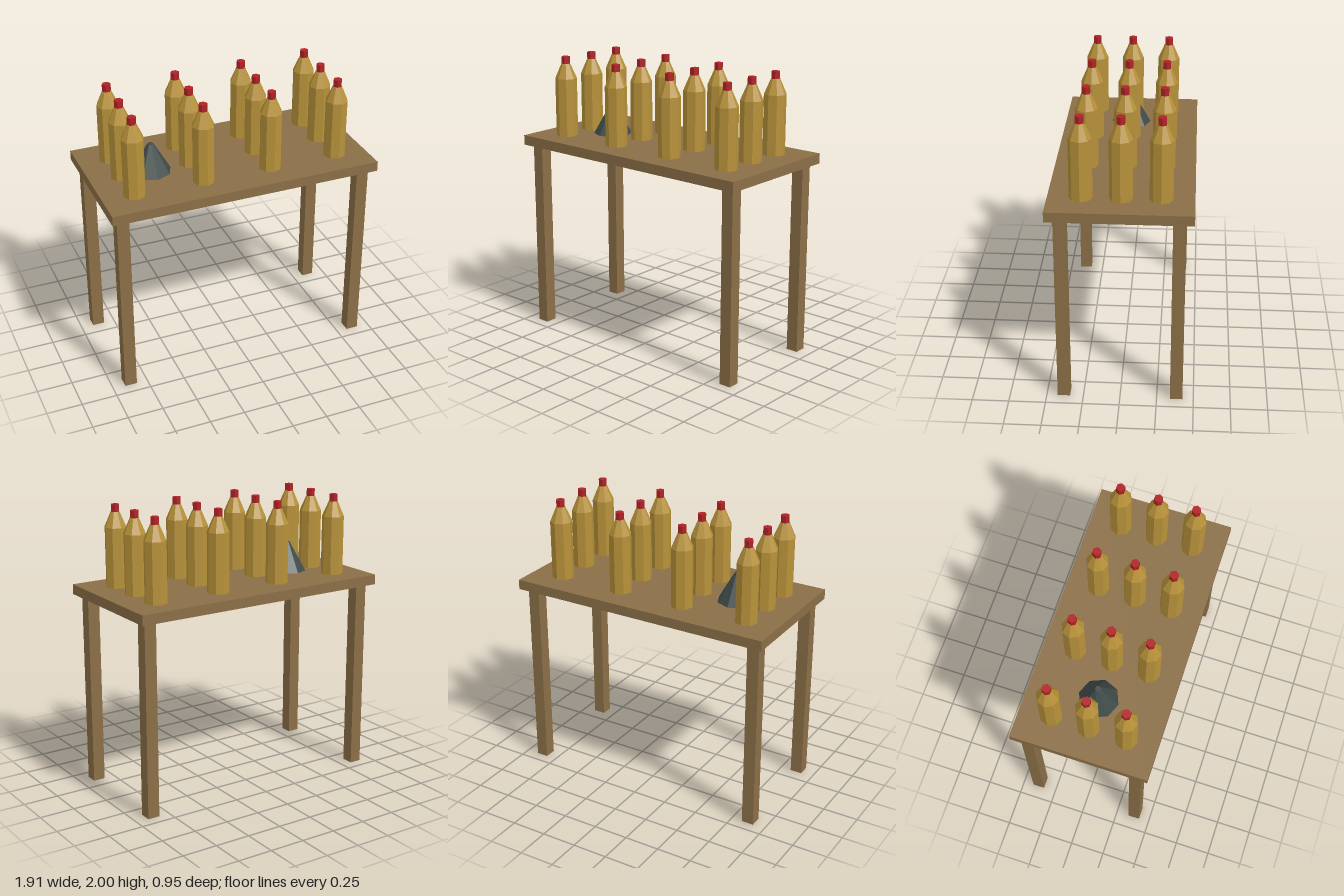
import * as THREE from 'three';

const material = (name, color) => {
  const m = new THREE.MeshStandardMaterial({ color, flatShading: true });
  m.name = name;
  return m;
};

export function createModel() {
  const wood = material('wood', 0x8b6f47);
  const amber = material('amber glass', 0xb8923a);
  const red = material('red cap', 0xb02226);
  const slate = material('dark slate', 0x3f4b49);

  const model = new THREE.Group();
  model.name = 'bottleTable';

  const add = (parent, name, geometry, mat, x, y, z) => {
    const mesh = new THREE.Mesh(geometry, mat);
    mesh.name = name;
    mesh.position.set(x, y, z);
    parent.add(mesh);
    return mesh;
  };

  // Table: slab and four square legs
  const topY = 1.43;
  add(model, 'tableTop', new THREE.BoxGeometry(1.91, 0.07, 0.955), wood, 0, topY - 0.035, 0);
  const legGeometry = new THREE.BoxGeometry(0.085, 1.36, 0.085);
  for (const x of [-0.87, 0.87]) {
    for (const z of [-0.383, 0.383]) add(model, 'leg', legGeometry, wood, x, 0.68, z);
  }

  // Bottles: eight-sided body, tapering shoulder, six-sided cap
  const bodyGeometry = new THREE.CylinderGeometry(0.077, 0.077, 0.415, 8);
  const shoulderGeometry = new THREE.CylinderGeometry(0.031, 0.077, 0.105, 8);
  const capGeometry = new THREE.CylinderGeometry(0.031, 0.031, 0.05, 6).rotateY(Math.PI / 6);
  for (const x of [-0.732, -0.245, 0.241, 0.727]) {
    for (const z of [-0.26, 0, 0.26]) {
      const bottle = new THREE.Group();
      bottle.name = 'bottle';
      bottle.position.set(x, topY, z);
      add(bottle, 'body', bodyGeometry, amber, 0, 0.2075, 0);
      add(bottle, 'shoulder', shoulderGeometry, amber, 0, 0.4675, 0);
      add(bottle, 'cap', capGeometry, red, 0, 0.545, 0);
      model.add(bottle);
    }
  }

  // Blunt cone standing between the first two bottle rows
  add(model, 'cone', new THREE.CylinderGeometry(0.02, 0.138, 0.207, 8), slate, -0.524, topY + 0.1035, 0);

  return model;
}
